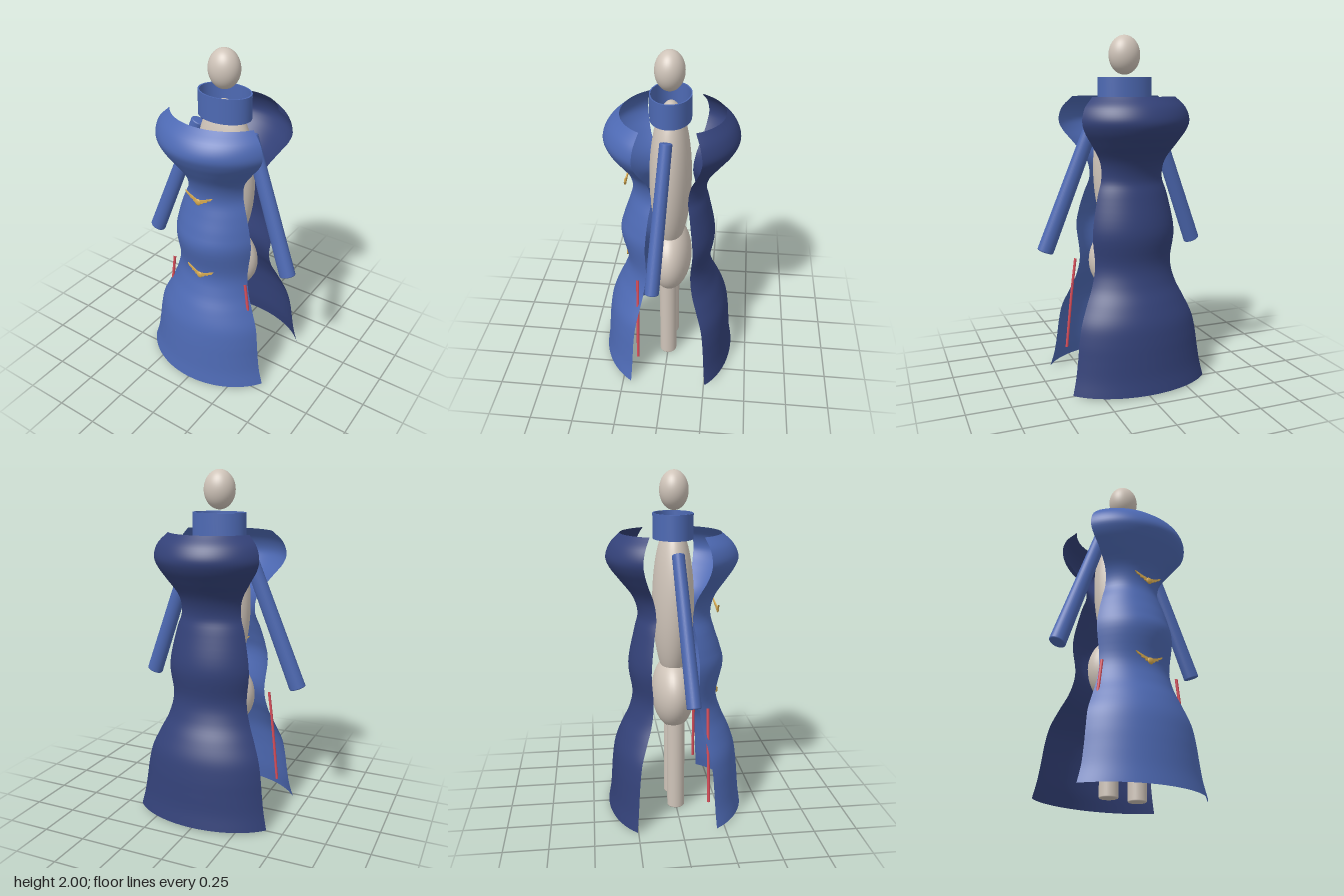
import * as THREE from 'three';

const mat = (name, color, side = THREE.FrontSide) => {
  const m = new THREE.MeshStandardMaterial({ color, side });
  m.name = name;
  return m;
};

export function createModel() {
  const group = new THREE.Group();
  const blue = mat('coat blue', 0x4d69b3, THREE.DoubleSide);
  const navy = mat('cape navy', 0x334178, THREE.DoubleSide);
  const skin = mat('mannequin beige', 0xcfc4b9);
  const gold = mat('clasp gold', 0xd4a850);
  const red = mat('piping red', 0xd94e5b);

  const add = (name, geo, material, parent = group) => {
    const m = new THREE.Mesh(geo, material);
    m.name = name;
    parent.add(m);
    return m;
  };
  const lathe = (points, segments) =>
    new THREE.LatheGeometry(points.map(([x, y]) => new THREE.Vector2(x, y)), segments);
  // Rod along y, bottom and top radius, with softened end rims
  const rod = (r0, r1, length) => {
    const h = length / 2, b = 0.007;
    return lathe([[0, -h], [r0 - b, -h], [r0 - b * 0.3, -h + b * 0.3], [r0, -h + b],
      [r1, h - b], [r1 - b * 0.3, h - b * 0.3], [r1 - b, h], [0, h]], 32);
  };

  // Mannequin
  const ellipsoid = (name, y, rx, ry, rz, z = 0) => {
    const geo = new THREE.SphereGeometry(1, 40, 28);
    geo.scale(rx, ry, rz);
    add(name, geo, skin).position.set(0, y, z);
  };
  ellipsoid('head', 1.89, 0.091, 0.11, 0.082);
  ellipsoid('torso', 1.25, 0.19, 0.47, 0.12, -0.005);
  ellipsoid('hips', 0.712, 0.222, 0.218, 0.127, -0.006);
  for (const s of [-1, 1]) add('leg', rod(0.052, 0.052, 0.6), skin).position.set(s * 0.093, 0.303, 0);

  // Collar: oval band with a thin wall
  const collarParts = {
    collarOuter: [[1, 0], [1, 0.142]],
    collarRim: [[1, 0.142], [0.94, 0.142]],
    collarInner: [[0.94, 0.142], [0.94, 0]],
    collarHem: [[0.94, 0], [1, 0]],
  };
  for (const [name, points] of Object.entries(collarParts)) {
    const geo = lathe(points, 48);
    geo.scale(0.159, 1, 0.115);
    add(name, geo, blue).position.set(0, 1.624, -0.005);
  }

  // Sleeves: slightly flattened tubes widening outward and forward
  for (const s of [-1, 1]) {
    const top = new THREE.Vector3(s * 0.172, 1.557, 0.003);
    const end = new THREE.Vector3(s * 0.47, 0.774, 0.053);
    const geo = rod(0.049, 0.042, top.distanceTo(end));
    geo.scale(1, 1, 0.83);
    const sleeve = add('sleeve', geo, blue);
    sleeve.position.copy(top).add(end).multiplyScalar(0.5);
    sleeve.quaternion.setFromUnitVectors(new THREE.Vector3(0, 1, 0), top.clone().sub(end).normalize());
  }

  // Coat panels: rows of [height, half width, depth at centre, depth at side edge]
  const panel = (name, rows, side, material) => {
    const mid = new THREE.CatmullRomCurve3(rows.map(([y, , z]) => new THREE.Vector3(0, y, z)), false, 'catmullrom');
    const edge = new THREE.CatmullRomCurve3(rows.map(([y, w, , z]) => new THREE.Vector3(w, y, z)), false, 'catmullrom');
    const geo = new THREE.PlaneGeometry(1, 1, 40, 80);
    const pos = geo.attributes.position;
    const span = Math.PI / 3;
    for (let i = 0; i < pos.count; i++) {
      const t = pos.getY(i) + 0.5;
      const a = pos.getX(i) * 2 * span;
      const m = mid.getPoint(t), e = edge.getPoint(t);
      const k = (Math.cos(a) - 0.5) / 0.5;
      pos.setXYZ(i, side * e.x * Math.sin(a) / Math.sin(span), m.y, side * (e.z + (m.z - e.z) * k));
    }
    geo.computeVertexNormals();
    add(name, geo, material);
  };
  panel('frontPanel', [
    [0.01, 0.414, 0.405, 0.2], [0.1, 0.388, 0.393, 0.195], [0.2, 0.372, 0.385, 0.19],
    [0.3, 0.36, 0.376, 0.184], [0.4, 0.342, 0.36, 0.172], [0.5, 0.3, 0.325, 0.15],
    [0.6, 0.26, 0.28, 0.129], [0.72, 0.241, 0.25, 0.116], [0.9, 0.26, 0.288, 0.117],
    [1.0, 0.246, 0.269, 0.111], [1.1, 0.218, 0.236, 0.1], [1.2, 0.186, 0.211, 0.085],
    [1.3, 0.2, 0.235, 0.102], [1.4, 0.27, 0.3, 0.14], [1.47, 0.325, 0.345, 0.158],
    [1.53, 0.345, 0.365, 0.164], [1.6, 0.325, 0.335, 0.155], [1.66, 0.268, 0.27, 0.133],
  ], 1, blue);
  panel('backPanel', [
    [0.01, 0.405, 0.405, 0.256], [0.1, 0.385, 0.39, 0.247], [0.2, 0.37, 0.382, 0.24],
    [0.3, 0.358, 0.374, 0.232], [0.4, 0.338, 0.358, 0.218], [0.5, 0.298, 0.32, 0.187],
    [0.6, 0.255, 0.273, 0.156], [0.72, 0.232, 0.248, 0.143], [0.9, 0.248, 0.27, 0.154],
    [1.1, 0.213, 0.232, 0.133], [1.2, 0.185, 0.211, 0.12], [1.3, 0.195, 0.24, 0.134],
    [1.4, 0.255, 0.315, 0.17], [1.47, 0.3, 0.368, 0.19], [1.53, 0.317, 0.388, 0.198],
    [1.6, 0.298, 0.362, 0.185], [1.66, 0.245, 0.306, 0.158],
  ], -1, navy);

  // Red piping down each side of the skirt
  for (const s of [-1, 1]) {
    const path = new THREE.CatmullRomCurve3([
      new THREE.Vector3(s * 0.255, 0.69, 0.164),
      new THREE.Vector3(s * 0.279, 0.5, 0.164),
      new THREE.Vector3(s * 0.317, 0.13, 0.166),
    ]);
    add('sidePiping', new THREE.TubeGeometry(path, 16, 0.0085, 8), red);
  }

  // Winged clasps down the front: feathered plates swept back from a bead
  const wingShape = new THREE.Shape([
    [0, -0.012], [0.03, -0.006], [0.035, 0.004], [0.055, 0.008], [0.06, 0.018],
    [0.08, 0.025], [0.092, 0.042], [0.045, 0.022], [0, 0.008],
  ].map(([x, y]) => new THREE.Vector2(x, y)));
  const wingGeo = new THREE.ExtrudeGeometry(wingShape, { depth: 0.007, bevelEnabled: false });
  wingGeo.translate(0, 0, -0.0035);
  const beadGeo = new THREE.SphereGeometry(0.02, 16, 12);
  beadGeo.scale(1, 1, 0.4);
  for (const y of [0.715, 0.962, 1.21, 1.457]) {
    const clasp = new THREE.Group();
    clasp.name = 'clasp';
    clasp.position.set(0, y, 0.258);
    group.add(clasp);
    add('claspBead', beadGeo, gold, clasp).position.y = -0.003;
    add('claspWingLeft', wingGeo, gold, clasp).rotation.y = 0.12;
    add('claspWingRight', wingGeo, gold, clasp).rotation.y = Math.PI - 0.12;
  }
  return group;
}
